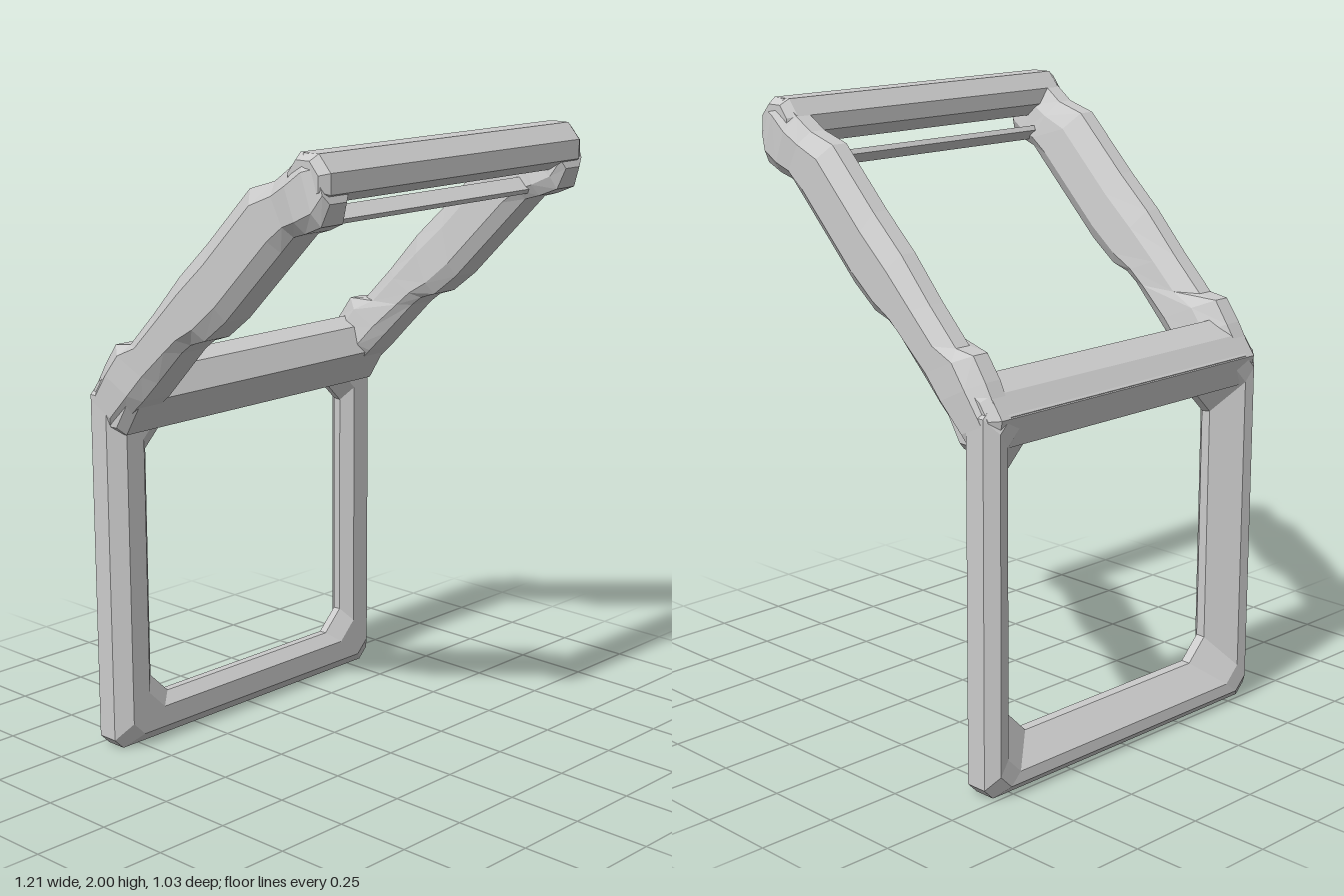
import * as THREE from 'three';

const material = new THREE.MeshStandardMaterial({ color: 0xcccccc, flatShading: true });

// Skin a list of equal-length rings; closed joins last ring to first, otherwise the ends are capped.
function loft(name, rings, closed = false) {
  const tris = [], n = rings[0].length, m = rings.length;
  for (let i = 0; i < (closed ? m : m - 1); i++) {
    const a = rings[i], b = rings[(i + 1) % m];
    for (let j = 0; j < n; j++) {
      const k = (j + 1) % n;
      tris.push([a[j], b[j], b[k]], [a[j], b[k], a[k]]);
    }
  }
  if (!closed) {
    const first = rings[0], last = rings[m - 1];
    for (let j = 1; j < n - 1; j++) {
      tris.push([first[0], first[j], first[j + 1]], [last[0], last[j + 1], last[j]]);
    }
  }
  // Turn the faces outward by the sign of the enclosed volume
  const cross = new THREE.Vector3();
  const volume = tris.reduce((s, [a, b, c]) => s + a.dot(cross.crossVectors(b, c)), 0);
  if (volume < 0) tris.forEach((t) => t.reverse());
  const geometry = new THREE.BufferGeometry().setFromPoints(tris.flat());
  geometry.computeVertexNormals();
  const mesh = new THREE.Mesh(geometry, material);
  mesh.name = name;
  return mesh;
}

// Straight crossbar along x from a [z, y] section, shrunk a little at both ends
function crossbar(name, section, half, taper = 0.03) {
  const cz = section.reduce((s, p) => s + p[0], 0) / section.length;
  const cy = section.reduce((s, p) => s + p[1], 0) / section.length;
  const ring = (x, k) => section.map(([z, y]) =>
    new THREE.Vector3(x, cy + (y - cy) * k, cz + (z - cz) * k));
  return loft(name, [ring(-half, 0.75), ring(-half + taper, 1), ring(half - taper, 1), ring(half, 0.75)]);
}

// Upright rectangular frame with chamfered corners; its bars slope away at the inner back
function lowerFrame() {
  const section = [[0, -0.48], [0, -0.41], [0.045, -0.365], [0.115, -0.365],
    [0.15, -0.40], [0.148, -0.43], [0.07, -0.51], [0.035, -0.515]]; // [inset, z]
  const corners = [[1, 1], [-1, 1], [-1, -1], [1, -1]];
  const rings = [];
  corners.forEach(([sx, sy], i) => {
    for (const step of [0, 1]) {
      rings.push(section.map(([d, z]) => {
        const cut = 0.035 + d * 0.25;
        const alongX = (i + step) % 2 === 1;
        const x = sx * (0.6 - d - (alongX ? cut : 0));
        const y = 0.605 + sy * (0.605 - d - (alongX ? 0 : cut));
        return new THREE.Vector3(x, y, z);
      }));
    }
  });
  return loft('lowerFrame', rings, true);
}

// Sloping side arm: [upper z, upper y, lower z, lower y, inner x, outer x]
const armStations = [
  [-0.50, 1.10, -0.39, 1.06, 0.47, 0.585],
  [-0.51, 1.17, -0.36, 1.10, 0.45, 0.60],
  [-0.45, 1.27, -0.27, 1.18, 0.435, 0.603],
  [-0.40, 1.34, -0.20, 1.25, 0.44, 0.60],
  [-0.33, 1.35, -0.09, 1.36, 0.447, 0.60],
  [-0.22, 1.46, -0.05, 1.39, 0.447, 0.60],
  [-0.10, 1.59, 0.01, 1.41, 0.445, 0.60],
  [0.02, 1.70, 0.10, 1.48, 0.445, 0.60],
  [0.20, 1.88, 0.33, 1.71, 0.445, 0.60],
  [0.30, 1.91, 0.38, 1.76, 0.445, 0.60],
  [0.36, 1.95, 0.43, 1.775, 0.45, 0.605],
  [0.42, 2.00, 0.49, 1.80, 0.465, 0.60],
  [0.47, 1.995, 0.515, 1.865, 0.48, 0.585],
];

function sideArm(name, side) {
  // [across from inner to outer, up from lower to upper edge]
  const section = [[0.15, 0], [0.8, 0], [1, 0.2], [1, 0.75], [0.75, 1], [0.4, 1], [0.1, 0.7], [0, 0.2]];
  const rings = armStations.map(([uz, uy, lz, ly, xi, xo]) => section.map(([u, v]) =>
    new THREE.Vector3(side * (xi + (xo - xi) * u), ly + (uy - ly) * v, lz + (uz - lz) * v)));
  return loft(name, rings);
}

export function createModel() {
  const model = new THREE.Group();
  model.name = 'hingedFrame';
  model.add(lowerFrame());

  // Wide bar where the upright and sloping frames meet
  model.add(crossbar('middleBar', [[-0.50, 1.08], [-0.517, 1.17], [-0.47, 1.235], [-0.40, 1.28],
    [-0.33, 1.255], [-0.29, 1.17], [-0.36, 1.057], [-0.42, 1.055]], 0.59));

  model.add(sideArm('leftArm', 1), sideArm('rightArm', -1));

  // Front bar at the top of the slope, with a thin rail just beneath it
  model.add(crossbar('topBar', [[0.40, 2], [0.47, 2], [0.515, 1.95], [0.515, 1.89],
    [0.47, 1.86], [0.40, 1.86], [0.36, 1.90], [0.36, 1.95]], 0.59));
  model.add(crossbar('thinRail', [[0.355, 1.815], [0.365, 1.83], [0.405, 1.795], [0.395, 1.78]], 0.52));
  return model;
}
